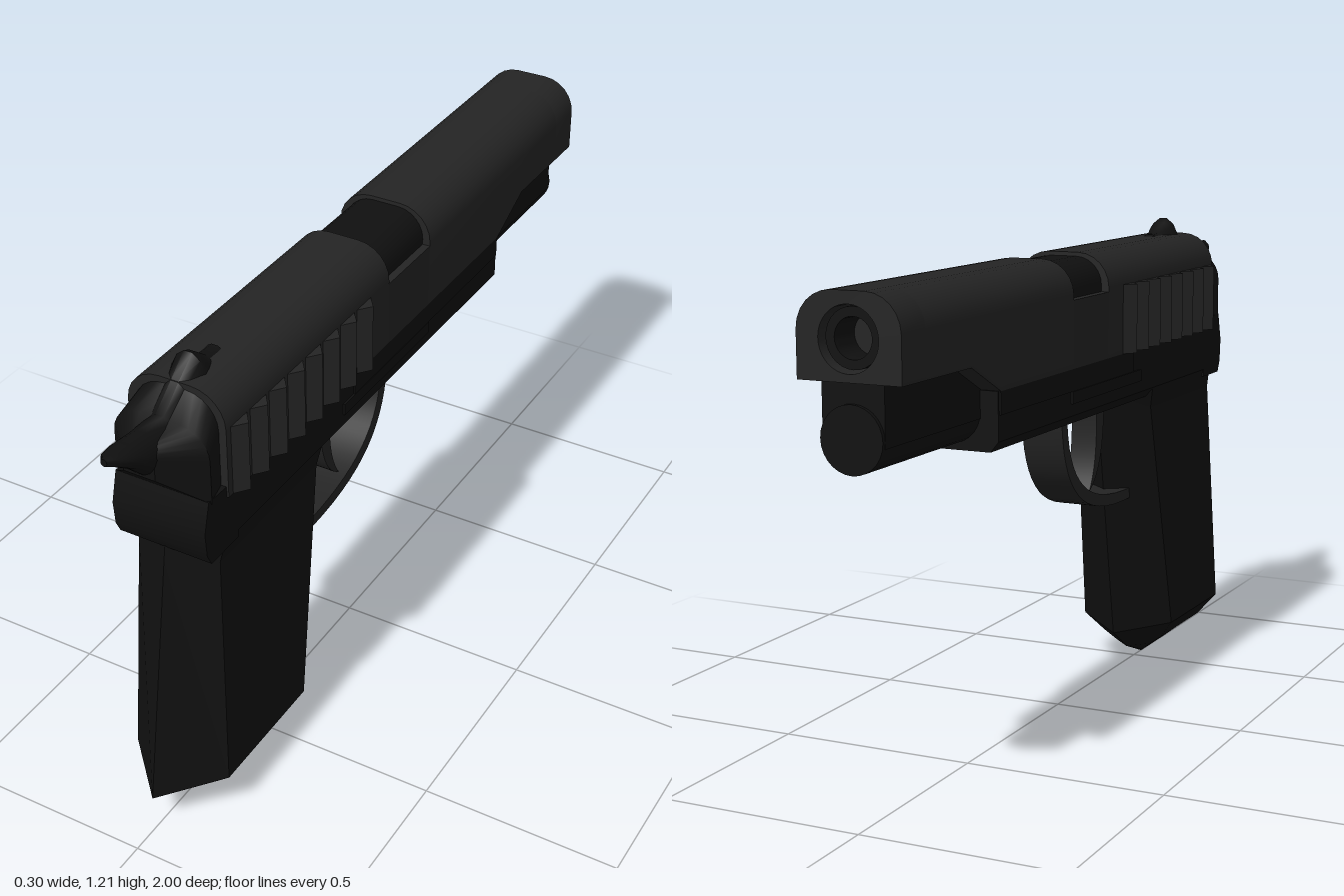
import * as THREE from 'three';
import { toCreasedNormals } from 'three/addons/utils/BufferGeometryUtils.js';

const steel = new THREE.MeshStandardMaterial({ color: 0x242424, side: THREE.DoubleSide });
const black = new THREE.MeshStandardMaterial({ color: 0x101010, side: THREE.DoubleSide });

// Skin a list of equal-length convex rings and cap both ends, facing outward.
function loft(rings, crease = 0.6) {
  const V = rings.map(r => r.map(p => new THREE.Vector3(...p)));
  const n = V[0].length, tris = [];
  for (let i = 0; i + 1 < V.length; i++) {
    for (let j = 0; j < n; j++) {
      const k = (j + 1) % n;
      tris.push([V[i][j], V[i][k], V[i + 1][k]], [V[i][j], V[i + 1][k], V[i + 1][j]]);
    }
  }
  const last = V[V.length - 1];
  for (let j = 1; j + 1 < n; j++) {
    tris.push([V[0][0], V[0][j + 1], V[0][j]], [last[0], last[j], last[j + 1]]);
  }
  const volume = tris.reduce((s, [a, b, c]) => s + a.dot(b.clone().cross(c)), 0);
  const pts = tris.flatMap(t => (volume < 0 ? [t[0], t[2], t[1]] : t));
  return toCreasedNormals(new THREE.BufferGeometry().setFromPoints(pts), crease);
}

// Extrude a (z, y) side profile across x, centred on x = 0.
function sideExtrude(shape, width) {
  const g = new THREE.ExtrudeGeometry(shape, { depth: width, bevelEnabled: false, curveSegments: 16 });
  g.translate(0, 0, -width / 2).rotateY(-Math.PI / 2);
  return toCreasedNormals(g, 0.6);
}

// Arched section: flat bottom, straight sides, rounded shoulders.
function arch(w, bottom, top, radius) {
  const pts = [[-w, bottom], [w, bottom]];
  for (let i = 0; i <= 6; i++) {
    const a = (i / 6) * Math.PI / 2;
    pts.push([w - radius + radius * Math.cos(a), top - radius + radius * Math.sin(a)]);
  }
  for (let i = 6; i >= 0; i--) {
    const [x, y] = pts[2 + i];
    pts.push([-x, y]);
  }
  return pts;
}
const atZ = (pts, z) => pts.map(([x, y]) => [x, y, z]);

// Elliptical ring at a given z.
function oval(z, top, bottom, w) {
  return Array.from({ length: 14 }, (_, i) => {
    const a = (i / 14) * Math.PI * 2;
    return [w * Math.cos(a), (top + bottom) / 2 + (top - bottom) / 2 * Math.sin(a), z];
  });
}

export function createModel() {
  const model = new THREE.Group();
  const add = (name, geometry, material = black) => {
    const mesh = new THREE.Mesh(geometry, material);
    mesh.name = name;
    model.add(mesh);
    return mesh;
  };
  const zCylinder = (r, z0, z1, y, open = false) =>
    new THREE.CylinderGeometry(r, r, Math.abs(z1 - z0), 28, 1, open)
      .rotateX(Math.PI / 2).translate(0, y, (z0 + z1) / 2);

  // Slide: rear, waist below the port, front with a stepped underside
  const slide = (z, bottom) => atZ(arch(0.125, bottom, 1.165, 0.085), z);
  add('slideRear', loft([slide(0.74, 0.905), slide(0.03, 0.905)]), steel);
  add('slideFront', loft([slide(-0.175, 0.905), slide(-0.56, 0.905),
    slide(-0.7, 0.975), slide(-0.9, 0.975)]), steel);
  add('slideWaist', new THREE.BoxGeometry(0.25, 0.165, 0.205).translate(0, 0.9875, -0.0725), steel);
  add('chamber', loft([0.03, -0.175].map(z => atZ(arch(0.105, 1, 1.155, 0.07), z))));

  // Muzzle ring with a round opening, and the barrel inside it
  const muzzle = new THREE.Shape(arch(0.125, 0.975, 1.165, 0.085).map(p => new THREE.Vector2(...p)));
  muzzle.holes.push(new THREE.Path().absarc(0, 1.065, 0.072, 0, Math.PI * 2, true));
  const muzzleGeo = new THREE.ExtrudeGeometry(muzzle, { depth: 0.1, bevelEnabled: false, curveSegments: 28 });
  add('muzzle', toCreasedNormals(muzzleGeo.translate(0, 0, -1), 0.6), steel);
  const barrel = [[0.045, 0], [0.045, 0.08], [0.066, 0.08], [0.066, 0]].map(p => new THREE.Vector2(...p));
  add('barrel', toCreasedNormals(new THREE.LatheGeometry(barrel, 28), 0.6)
    .rotateX(-Math.PI / 2).translate(0, 1.065, -0.9));

  // Grip serrations on both sides of the slide
  const pitch = 0.077;
  for (const side of [-1, 1]) {
    for (let i = 0; i < 8; i++) {
      const z = 0.113 + i * pitch;
      const tooth = y => [[side * 0.12, y, z], [side * 0.15, y, z + pitch / 2], [side * 0.12, y, z + pitch]];
      add('serration', loft([tooth(0.905), tooth(1.08)], 0.1), steel);
    }
  }

  // Recoil spring housing under the barrel
  add('springHousing', zCylinder(0.075, -0.5, -0.995, 0.855));
  add('housingBridge', new THREE.BoxGeometry(0.15, 0.14, 0.44).translate(0, 0.91, -0.765));

  // Frame with chamfered lower edges and a side ledge
  const frame = [[-0.12, 0.905], [-0.12, 0.79], [-0.1, 0.765], [0.1, 0.765], [0.12, 0.79], [0.12, 0.905]];
  add('frame', loft([atZ(frame, 0.76), atZ(frame, -0.565)], 0.3));
  add('frameLedge', new THREE.BoxGeometry(0.248, 0.055, 0.75).translate(0, 0.878, -0.185));
  add('sideLever', new THREE.BoxGeometry(0.25, 0.03, 0.42).translate(0, 0.835, 0.03));

  // Rear of the frame: rounded heel and tapering tang
  const heel = new THREE.Shape([[0.7, 0.93], [0.7, 0.77], [0.81, 0.77], [0.825, 0.8], [0.83, 0.86], [0.81, 0.935]]
    .map(p => new THREE.Vector2(...p)));
  add('frameHeel', sideExtrude(heel, 0.24));
  add('tang', loft([
    atZ(arch(0.105, 0.9, 1.155, 0.08), 0.735),
    atZ(arch(0.122, 0.925, 1.105, 0.07), 0.8),
    atZ(arch(0.04, 1.01, 1.09, 0.03), 0.885),
  ]));

  // Hammer: raised head and pointed spur
  add('hammer', loft([
    oval(0.585, 1.17, 1.1, 0.036), oval(0.63, 1.172, 1.06, 0.04), oval(0.665, 1.2, 1.05, 0.046),
    oval(0.685, 1.21, 1.05, 0.048), oval(0.735, 1.17, 1.02, 0.042), oval(0.8, 1.115, 0.98, 0.046),
    oval(0.87, 1.115, 1.0, 0.046), oval(0.93, 1.12, 1.06, 0.04), oval(0.975, 1.125, 1.092, 0.026),
    oval(1, 1.125, 1.107, 0.008),
  ], 0.9));

  // Grip: [y, half width, back z, front z, rear bevel, front bevel]
  const gripRing = ([y, w, back, front, rb, fb], i) => {
    const mid = i === 2 ? y - 0.02 : y;
    return [[0, mid, back], [w, y, back - rb], [w, y, front + fb],
      [0, mid, front], [-w, y, front + fb], [-w, y, back - rb]];
  };
  add('grip', loft([
    [0.79, 0.118, 0.81, 0.235, 0.06, 0.1],
    [0.735, 0.108, 0.82, 0.245, 0.06, 0.1],
    [0.12, 0.13, 0.928, 0.355, 0.13, 0.1],
    [0.065, 0.085, 0.87, 0.41, 0.1, 0.08],
    [0.04, 0.05, 0.83, 0.445, 0.06, 0.05],
    [0, 0.001, 0.73, 0.55, 0.01, 0.01],
  ].map(gripRing), 0.1));

  // Trigger guard: a thin bent strip
  const guard = new THREE.Shape();
  guard.moveTo(-0.095, 0.78);
  guard.bezierCurveTo(-0.09, 0.58, 0.02, 0.48, 0.335, 0.488);
  guard.lineTo(0.335, 0.515);
  guard.bezierCurveTo(0.06, 0.515, -0.06, 0.59, -0.063, 0.78);
  add('triggerGuard', sideExtrude(guard, 0.11), steel);

  // Trigger: a curved blade
  const trigger = new THREE.Shape();
  trigger.moveTo(0.207, 0.78);
  trigger.bezierCurveTo(0.205, 0.68, 0.19, 0.58, 0.115, 0.543);
  trigger.bezierCurveTo(0.155, 0.6, 0.165, 0.68, 0.155, 0.78);
  add('trigger', sideExtrude(trigger, 0.07), steel);

  return model;
}
